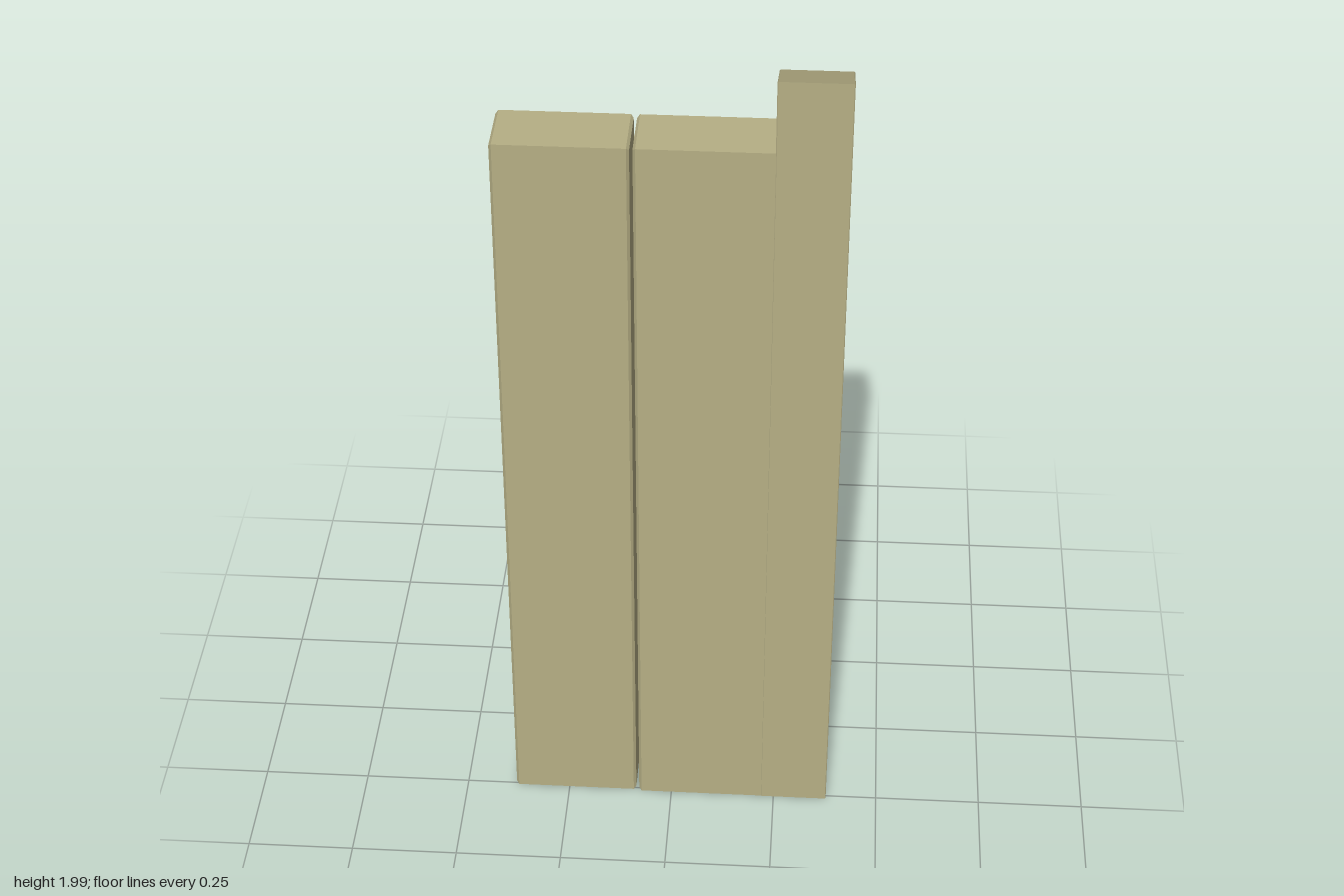
import * as THREE from 'three';

const stone = new THREE.MeshStandardMaterial({ color: 0xb6af85 });
stone.name = 'sandstone';

// Extrudes a (z, y) side profile from x0 to x1 with a small chamfer on every edge
function slab(name, profile, x0, x1, chamfer) {
  const shape = new THREE.Shape(profile.map(([z, y]) => new THREE.Vector2(z, y)));
  const geometry = new THREE.ExtrudeGeometry(shape, {
    depth: x1 - x0 - 2 * chamfer,
    bevelEnabled: true,
    bevelSegments: 1,
    bevelSize: chamfer,
    bevelThickness: chamfer,
    bevelOffset: -chamfer,
  });
  geometry.rotateY(-Math.PI / 2);
  geometry.translate(x1 - chamfer, 0, 0);
  const mesh = new THREE.Mesh(geometry, stone);
  mesh.name = name;
  return mesh;
}

// Stair outline: bottom edge, tall front, then treads descending to the back
function stairProfile(bottom) {
  const edges = [0.259, 0.115, -0.01, -0.135, -0.259];
  const heights = [1.83, 1.703, 1.577, 1.45];
  const points = [[-0.259, bottom], [0.259, bottom]];
  heights.forEach((y, i) => points.push([edges[i], y], [edges[i + 1], y]));
  return points;
}

export function createModel() {
  const group = new THREE.Group();
  group.name = 'steppedBlock';

  // Two stair columns separated by a narrow through gap; the inner one runs into the wall
  group.add(slab('outerStair', stairProfile(0.01), -0.38, -0.086, 0.006));
  group.add(slab('innerStair', stairProfile(0.006), -0.079, 0.235, 0.006));

  // Side wall with a sloping parapet
  const wall = [
    [-0.262, 0.006], [0.26, 0.006], [0.26, 2], [0.065, 1.92],
    [-0.07, 1.755], [-0.2, 1.615], [-0.262, 1.51],
  ];
  group.add(slab('sideWall', wall, 0.219, 0.378, 0.002));

  return group;
}
